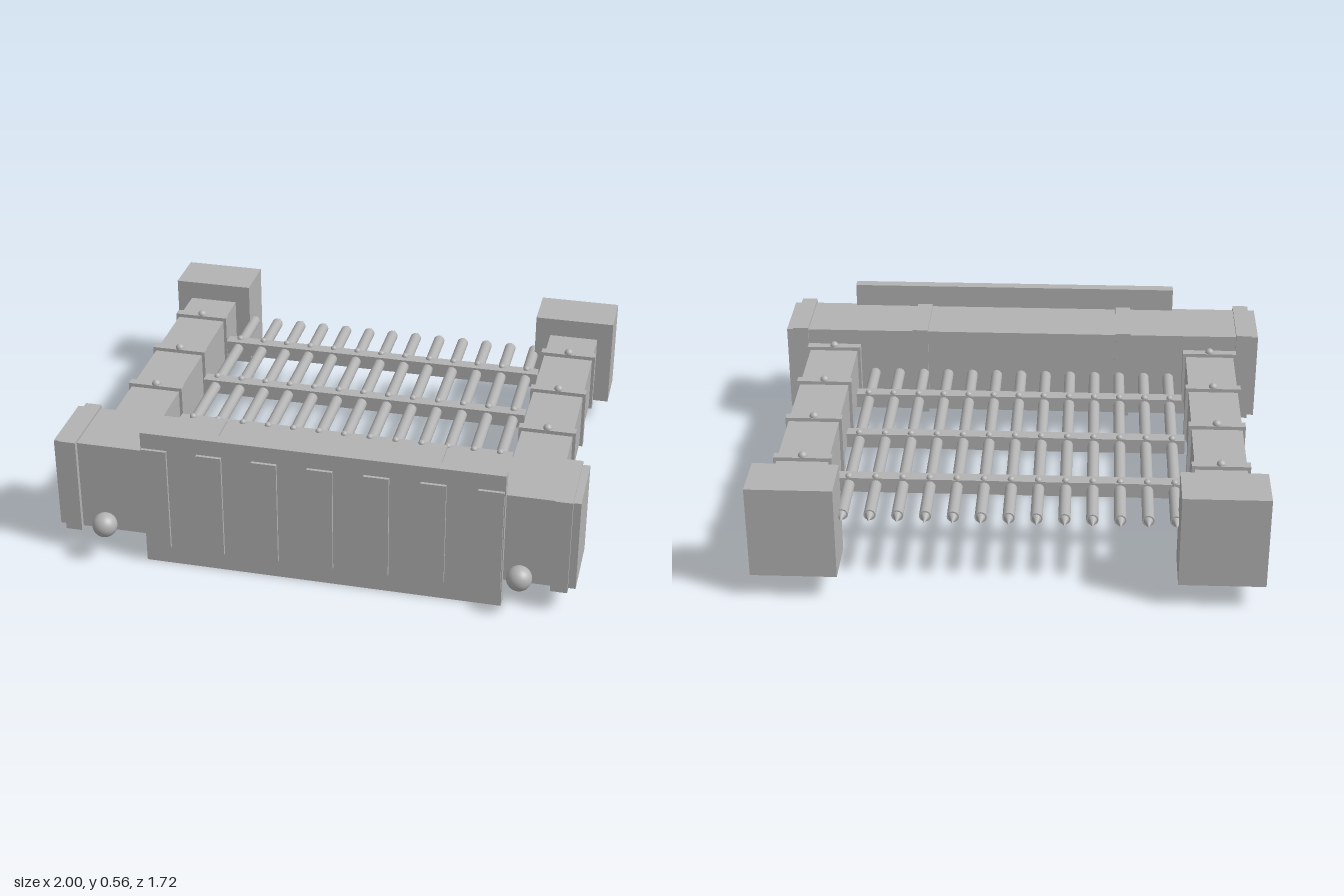
import * as THREE from 'three';

export function createModel() {
  const root = new THREE.Group();
  root.name = 'gate';
  const grey = new THREE.MeshStandardMaterial({ color: 0xb3b3b3 });
  grey.name = 'plain grey';

  const add = (name, geometry, x, y, z) => {
    const mesh = new THREE.Mesh(geometry, grey);
    mesh.name = name;
    mesh.position.set(x, y, z);
    root.add(mesh);
    return mesh;
  };
  // box given by its limits on each axis
  const box = (name, x0, x1, y0, y1, z0, z1) =>
    add(name, new THREE.BoxGeometry(x1 - x0, y1 - y0, z1 - z0),
      (x0 + x1) / 2, (y0 + y1) / 2, (z0 + z1) / 2);

  // thick beam across the front, with wrapped bands
  box('beam', -1, 1, 0.10, 0.47, 0.48, 0.75);
  for (const x of [-0.94, -0.43, 0.43, 0.94]) {
    box('beamBand', x - 0.032, x + 0.032, 0.09, 0.48, 0.47, 0.77);
  }
  box('beamPatch', -0.91, -0.82, 0.094, 0.10, 0.52, 0.70);

  // board with seven raised slats
  box('board', -0.645, 0.73, 0, 0.565, 0.735, 0.778);
  for (let i = 0; i < 7; i++) {
    const x = -0.592 + i * 0.2117;
    box('boardSlat', x - 0.048, x + 0.048, 0.075, 0.50, 0.77, 0.79);
  }

  // side posts, feet, bands with studs, and ball knobs
  const stud = new THREE.SphereGeometry(0.018, 14, 10);
  const knob = new THREE.SphereGeometry(0.048, 24, 16);
  for (const s of [-1, 1]) {
    const x = s * 0.797;
    box('post', x - 0.1, x + 0.1, 0.18, 0.393, -0.68, 0.49);
    box('postStrip', x - 0.05, x + 0.05, 0.173, 0.18, -0.56, 0.45);
    box('foot', x - 0.163, x + 0.163, 0.10, 0.47, -0.865, -0.67);
    for (let i = 0; i < 4; i++) {
      const z = -0.498 + i * 0.318;
      box('postBand', x - 0.112, x + 0.112, 0.165, 0.408, z - 0.018, z + 0.018);
      add('postStud', stud, x, 0.408, z);
      add('postStud', stud, x, 0.165, z);
    }
    add('knob', knob, x, 0.157, 0.81);
  }

  // grille of pointed bars
  const y = 0.285;
  const barGeometry = new THREE.CylinderGeometry(0.023, 0.023, 1.17, 16).rotateX(-Math.PI / 2);
  const tipGeometry = new THREE.ConeGeometry(0.018, 0.047, 12).rotateX(-Math.PI / 2);
  const rivet = new THREE.SphereGeometry(0.014, 12, 8);
  const railZ = [-0.475, -0.127, 0.218];
  for (let i = 0; i < 13; i++) {
    const x = -0.625 + i * 0.1042;
    add('bar', barGeometry, x, y, -0.135);
    add('barTip', tipGeometry, x, y, -0.7425);
    for (const z of railZ) add('rivet', rivet, x, y + 0.03, z - 0.012);
  }
  for (const z of railZ) {
    box('crossRail', -0.675, 0.675, y - 0.03, y + 0.03, z - 0.026, z + 0.026);
  }
  return root;
}
